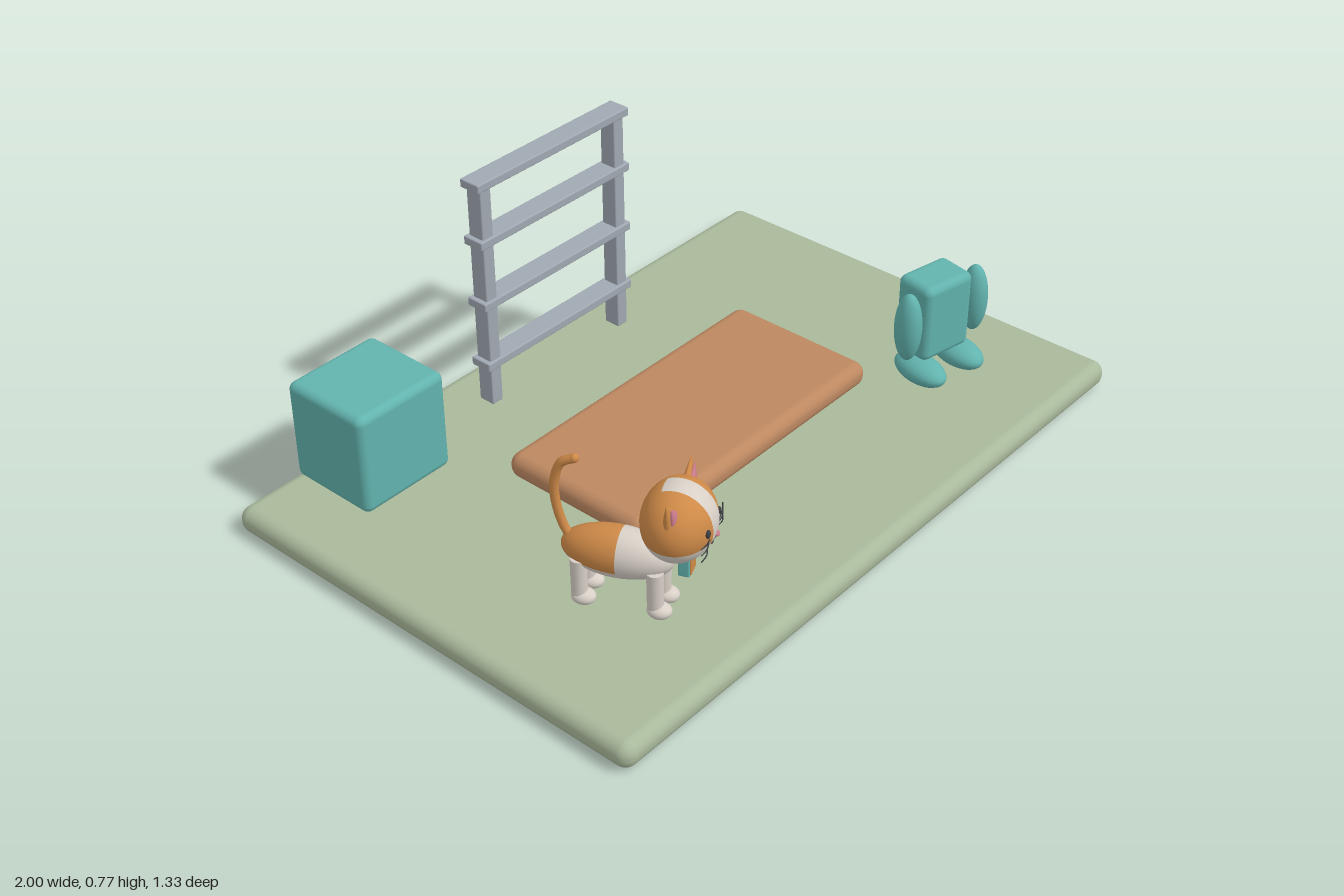
import * as THREE from 'three';
import { RoundedBoxGeometry } from 'three/addons/geometries/RoundedBoxGeometry.js';

const mat = (name, color) => {
  const m = new THREE.MeshStandardMaterial({ color });
  m.name = name;
  return m;
};

export function createModel() {
  const sage = mat('sage', 0xa9b99b), clay = mat('clay', 0xbd8861), teal = mat('teal', 0x62b3ae),
    steel = mat('steel', 0xa0a8b2), orange = mat('orange', 0xcf8a48), cream = mat('cream', 0xd8d0c7),
    pink = mat('pink', 0xcb7c8c), dark = mat('charcoal', 0x3c3d42);

  const group = (parent, name, x = 0, y = 0, z = 0, yaw = 0) => {
    const g = new THREE.Group();
    g.name = name;
    g.position.set(x, y, z);
    g.rotation.y = yaw;
    if (parent) parent.add(g);
    return g;
  };
  const add = (parent, name, geo, material, x = 0, y = 0, z = 0) => {
    const m = new THREE.Mesh(geo, material);
    m.name = name;
    m.position.set(x, y, z);
    parent.add(m);
    return m;
  };
  const block = (w, h, d, r) => new RoundedBoxGeometry(w, h, d, 5, r);
  const ball = (rx, ry, rz) => new THREE.SphereGeometry(1, 32, 20).scale(rx, ry, rz);
  const tube = (pts, r) => new THREE.TubeGeometry(
    new THREE.CatmullRomCurve3(pts.map(p => new THREE.Vector3(...p))), 32, r, 10);

  const model = group(null, 'playset');

  // Base, mat and storage cube
  add(model, 'base', block(2, 0.075, 1.33, 0.035), sage, 0, 0.0375, 0);
  add(model, 'mat', block(0.935, 0.072, 0.455, 0.033), clay, 0, 0.119, 0);
  add(model, 'cube', block(0.29, 0.29, 0.27, 0.022), teal, -0.67, 0.23, -0.505);

  // Ladder frame
  const ladder = group(model, 'ladder', 0, 0, -0.5);
  for (const x of [-0.25, 0.25])
    add(ladder, 'ladderPost', block(0.038, 0.675, 0.05, 0.004), steel, x, 0.4225, 0);
  for (const y of [0.212, 0.4, 0.587, 0.755])
    add(ladder, 'ladderRung', block(0.565, 0.025, 0.065, 0.004), steel, 0, y, 0);

  // Backpack-shaped figure
  const figure = group(model, 'figure', 0.643, 0, 0.31, -0.2);
  add(figure, 'figureBody', block(0.17, 0.23, 0.122, 0.022), teal, 0, 0.274, 0);
  for (const s of [-1, 1]) {
    add(figure, 'figureArm', ball(0.036, 0.103, 0.04), teal, s * 0.122, 0.28, 0.03);
    add(figure, 'figureFoot', ball(0.051, 0.036, 0.088), teal, s * 0.07, 0.126, 0.035);
  }

  // Cat body: cream, with an orange saddle over the rump
  const cat = group(model, 'cat', -0.64, 0, 0.318, 0.42);
  const torso = (name, m, p0, pl, t0, tl) => add(cat, name,
    new THREE.SphereGeometry(1, 32, 16, p0, pl, t0, tl).rotateX(Math.PI / 2).scale(0.06, 0.066, 0.14),
    m, 0, 0.237, 0);
  const split = 1.5, low = 0.4;
  torso('chest', cream, 0, Math.PI * 2, 0, split);
  torso('rump', orange, Math.PI - low, Math.PI + 2 * low, split, Math.PI - split);
  torso('belly', cream, low, Math.PI - 2 * low, split, Math.PI - split);

  // Legs and paws
  for (const s of [-1, 1]) for (const z of [-0.088, 0.1]) {
    add(cat, 'leg', new THREE.CylinderGeometry(0.021, 0.02, 0.11, 20), cream, s * 0.031, 0.165, z);
    add(cat, 'paw', ball(0.026, 0.02, 0.031), cream, s * 0.031, 0.107, z + 0.01);
  }

  // Tail
  const tailPath = [[0, 0.25, -0.115], [0, 0.29, -0.135], [0, 0.36, -0.151],
    [0, 0.42, -0.15], [0, 0.468, -0.132], [0, 0.486, -0.1]];
  add(cat, 'tail', tube(tailPath, 0.0115), orange);
  add(cat, 'tailTip', ball(0.0115, 0.0115, 0.0115), orange, ...tailPath[5]);

  // Head: orange cap, cream muzzle half and a cream blaze
  const head = group(cat, 'head', 0, 0.366, 0.15);
  const [RX, RY, RZ] = [0.108, 0.099, 0.09];
  const line = Math.acos(-0.3);
  const shell = (name, m, t0, tl) => add(head, name,
    new THREE.SphereGeometry(1, 40, 20, 0, Math.PI * 2, t0, tl).scale(RX, RY, RZ), m);
  shell('headCap', orange, 0, line);
  shell('muzzle', cream, line, Math.PI - line);
  add(head, 'blaze', new THREE.SphereGeometry(1.015, 30, 8, -0.4, line + 0.4, Math.PI / 2 - 0.24, 0.48)
    .rotateZ(-Math.PI / 2).scale(RX, RY, RZ), cream);

  // Face, placed on the head surface
  const onFace = (x, y) => RZ * Math.sqrt(1 - (x / RX) ** 2 - (y / RY) ** 2);
  add(head, 'nose', ball(0.009, 0.006, 0.006), pink, 0, -0.022, onFace(0, -0.022) + 0.003);
  for (const s of [-1, 1]) {
    const ear = group(head, 'ear', s * 0.084, 0.078, 0);
    ear.rotation.z = -s * 0.5;
    add(ear, 'earOuter', new THREE.ConeGeometry(0.036, 0.075, 24).scale(1, 1, 0.5), orange);
    add(ear, 'earInner', new THREE.ConeGeometry(0.026, 0.056, 24).scale(1, 1, 0.5), pink, 0, -0.004, 0.01);
    add(head, 'eye', ball(0.009, 0.011, 0.006), dark, s * 0.045, 0.008, onFace(0.045, 0.008));
    add(head, 'mouth', new THREE.TorusGeometry(0.009, 0.0018, 6, 12, Math.PI).rotateZ(Math.PI),
      dark, s * 0.009, -0.034, onFace(0.009, -0.04));
    for (const k of [-1, 0, 1]) {
      const y = -0.022 + k * 0.011;
      add(head, 'whisker', tube([[s * 0.038, y, onFace(0.038, y)],
        [s * 0.065, y + k * 0.004, 0.084], [s * 0.09, y + k * 0.008, 0.078]], 0.0015), dark);
    }
  }

  // Small bag hanging beside the chest
  const bag = group(cat, 'bag', 0.081, 0.19, 0.142);
  add(bag, 'bagBody', block(0.047, 0.094, 0.03, 0.005), teal);
  add(bag, 'bagPanel', block(0.04, 0.072, 0.008, 0.003), orange, 0, -0.004, 0.015);
  add(bag, 'bagStrap', tube([[-0.024, 0.04, 0], [-0.026, 0.065, 0], [-0.008, 0.083, 0],
    [0.014, 0.075, 0], [0.02, 0.04, 0]], 0.005), orange);

  return model;
}
